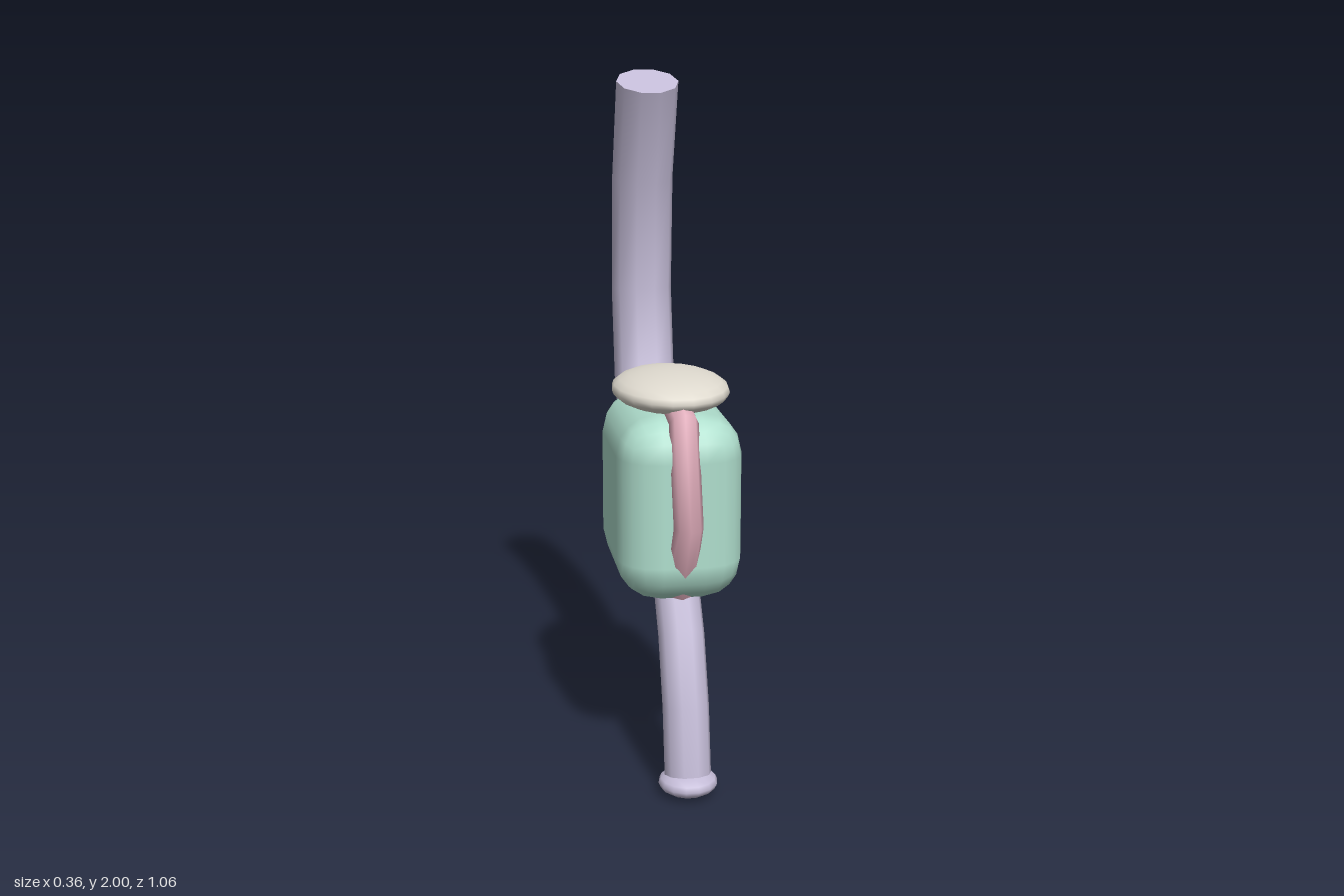
import * as THREE from 'three';
import { RoundedBoxGeometry } from 'three/addons/geometries/RoundedBoxGeometry.js';

const material = (name, color) => {
  const m = new THREE.MeshStandardMaterial({ color });
  m.name = name;
  return m;
};

// Bends a capped cylinder along a polyline of [y, z] points lying in x = 0
function bentTube(points, radius, sides) {
  const path = points.map(([y, z]) => new THREE.Vector3(0, y, z));
  const n = path.length - 1;
  const angles = path.map((p, i) => {
    const t = new THREE.Vector3();
    if (i > 0) t.add(p.clone().sub(path[i - 1]).normalize());
    if (i < n) t.add(path[i + 1].clone().sub(p).normalize());
    return Math.atan2(t.z, t.y);
  });
  const geo = new THREE.CylinderGeometry(radius, radius, 1, sides, n).rotateY(Math.PI / 2);
  const pos = geo.attributes.position;
  const nor = geo.attributes.normal;
  const axis = new THREE.Vector3(1, 0, 0);
  const v = new THREE.Vector3();
  for (let i = 0; i < pos.count; i++) {
    const ring = Math.round((pos.getY(i) + 0.5) * n);
    v.set(pos.getX(i), 0, pos.getZ(i)).applyAxisAngle(axis, angles[ring]).add(path[ring]);
    pos.setXYZ(i, v.x, v.y, v.z);
    v.fromBufferAttribute(nor, i).applyAxisAngle(axis, angles[ring]);
    nor.setXYZ(i, v.x, v.y, v.z);
  }
  return geo;
}

const ellipsoid = (rx, ry, rz, w, h) => new THREE.SphereGeometry(1, w, h).scale(rx, ry, rz);

export function createModel() {
  const group = new THREE.Group();
  const lavender = material('lavender', 0xc4bcd7);
  const mint = material('mint', 0xb0dfce);
  const pink = material('pink', 0xdeabb9);
  const cream = material('cream', 0xe0dbd0);

  const add = (name, geometry, mat, x = 0, y = 0, z = 0) => {
    const mesh = new THREE.Mesh(geometry, mat);
    mesh.name = name;
    mesh.position.set(x, y, z);
    group.add(mesh);
  };

  // Rounded body and its flat oval lid
  add('body', new RoundedBoxGeometry(0.36, 0.54, 0.54, 2, 0.12), mint, 0, 0.81, 0.13);
  add('lid', ellipsoid(0.17, 0.056, 0.235, 18, 12), cream, 0, 1.118, 0.127);

  // Thick pipe rising behind the body
  add('rearPipe', bentTube([
    [0.835, -0.05], [0.868, -0.217], [1.02, -0.378],
    [1.323, -0.442], [1.675, -0.413], [1.97, -0.305],
  ], 0.095, 10), lavender);

  // Thin pipe curving down and forward, with a rounded foot
  add('lowerPipe', bentTube([
    [0.063, 0.444], [0.249, 0.407], [0.437, 0.33], [0.6, 0.21],
  ], 0.067, 10), lavender);
  add('foot', ellipsoid(0.085, 0.037, 0.085, 14, 8), lavender, 0, 0.04, 0.446);

  // Bent handle on the front
  add('handle', bentTube([
    [0.57, 0.31], [0.794, 0.444], [1.068, 0.36], [1.085, 0.24],
  ], 0.042, 8), pink);

  return group;
}
